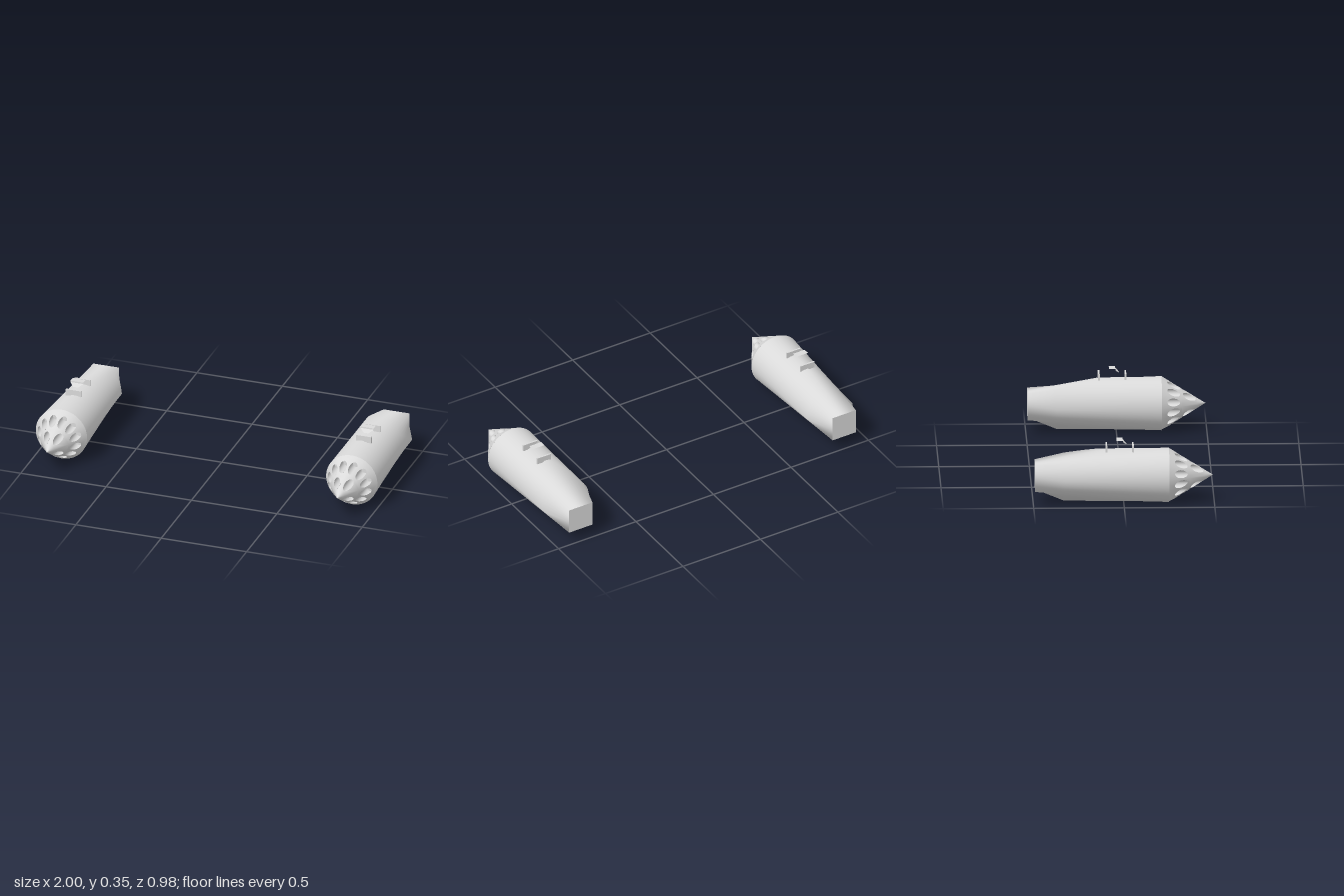
import * as THREE from 'three';

const gray = new THREE.MeshStandardMaterial({ color: 0xdadada, side: THREE.DoubleSide });
gray.name = 'light gray metal';

const R = 0.15, CY = 0.152, NOSE_Z = 0.25, TIP_Z = 0.493, TAIL_Z = -0.49, TAIL = 0.075;
const coneZ = (r) => NOSE_Z + (TIP_Z - NOSE_Z) * (1 - r / R);

function part(geometry, name, parent) {
  const mesh = new THREE.Mesh(geometry, gray);
  mesh.name = name;
  parent.add(mesh);
  return mesh;
}

// Skin through rings of equal length; flip turns it to face inwards
function skin(rings, flip = false) {
  const n = rings[0].length, index = [];
  for (let j = 0; j < rings.length - 1; j++) {
    for (let i = 0; i < n; i++) {
      const a = j * n + i, b = j * n + (i + 1) % n, c = a + n, d = b + n;
      if (flip) index.push(a, b, c, b, d, c);
      else index.push(a, c, b, b, c, d);
    }
  }
  const g = new THREE.BufferGeometry().setFromPoints(rings.flat());
  g.setIndex(index);
  g.computeVertexNormals();
  return g;
}

// Round body ending in a square tail. The four ridges bend at the kink ring;
// the round quadrant stays full up to there, the others run straight to the tail corners.
function bodyGeometry(roundQuadrant) {
  const front = [], kink = [], tail = [], N = 48, Q = N / 4;
  const ridges = [[0.148, 0, -0.33], [0, 0.148, -0.1], [-0.148, 0, -0.33], [0, -0.143, -0.33]]
    .map((p) => new THREE.Vector3(...p));
  for (let i = 0; i < N; i++) {
    const t = i / N * Math.PI * 2, c = Math.cos(t), s = Math.sin(t);
    const q = Math.floor(i / Q), u = (i % Q) / Q;
    const k = TAIL / Math.max(Math.abs(c), Math.abs(s));
    front.push(new THREE.Vector3(c * R, s * R, NOSE_Z));
    tail.push(new THREE.Vector3(c * k, s * k, TAIL_Z));
    if (q === roundQuadrant && u > 0) {
      const h = 0.148 * s;
      kink.push(new THREE.Vector3(c * 0.148, h, Math.max(-0.33, -0.1 - 0.39 * (0.148 - h) / 0.073)));
    } else {
      const a = ridges[q], b = ridges[(q + 1) % 4];
      const z = (a.z + b.z) / 2, f = (NOSE_Z - z) / (NOSE_Z - TAIL_Z);
      const r = THREE.MathUtils.lerp(R, TAIL * Math.SQRT2, f), mid = (q + 0.5) * Math.PI / 2;
      const m = new THREE.Vector3(r * Math.cos(mid), r * Math.sin(mid), z);
      kink.push(u < 0.5 ? a.clone().lerp(m, u * 2) : m.lerp(b, u * 2 - 1));
    }
  }
  const g = skin([front, kink, tail]);
  // soft round shading all along the body
  const n = g.attributes.normal;
  for (let i = 0; i < n.count; i++) {
    const t = (i % N) / N * Math.PI * 2;
    n.setXYZ(i, Math.cos(t), Math.sin(t), 0);
  }
  return g;
}

// Cone panel between two radii and two angles, pierced by one hole
function panelGeometry(r0, r1, a0, a1, hx, hy, hr) {
  const shape = new THREE.Shape();
  shape.absarc(0, 0, r1, a0, a1, false);
  shape.absarc(0, 0, r0, a1, a0, true);
  shape.holes.push(new THREE.Path().absarc(hx, hy, hr, 0, Math.PI * 2, true));
  const g = new THREE.ShapeGeometry(shape, 12);
  const p = g.attributes.position, n = g.attributes.normal;
  const v = new THREE.Vector3();
  for (let i = 0; i < p.count; i++) {
    const x = p.getX(i), y = p.getY(i), r = Math.hypot(x, y);
    p.setZ(i, coneZ(r));
    v.set(x / r * (TIP_Z - NOSE_Z), y / r * (TIP_Z - NOSE_Z), R).normalize();
    n.setXYZ(i, v.x, v.y, v.z);
  }
  return g;
}

// Panel with its launch tube and tube floor
function addTube(nose, r0, r1, a0, a1, holeR, holeA) {
  const hr = 0.022, hx = holeR * Math.cos(holeA), hy = holeR * Math.sin(holeA);
  part(panelGeometry(r0, r1, a0, a1, hx, hy, hr), 'nosePanel', nose);
  const rim = [], base = [];
  for (let i = 0; i < 24; i++) {
    const t = i / 24 * Math.PI * 2, x = hx + hr * Math.cos(t), y = hy + hr * Math.sin(t);
    rim.push(new THREE.Vector3(x, y, coneZ(Math.hypot(x, y))));
    base.push(new THREE.Vector3(x, y, NOSE_Z));
  }
  part(skin([rim, base], true), 'launchTube', nose);
  part(new THREE.CircleGeometry(hr, 24), 'tubeFloor', nose).position.set(hx, hy, NOSE_Z);
}

function createNose() {
  const nose = new THREE.Group();
  nose.name = 'nose';
  const rad = Math.PI / 180, tipR = 0.028, midR = 0.081;
  const tipH = TIP_Z - coneZ(tipR);
  const tip = new THREE.ConeGeometry(tipR, tipH, 32, 1, true).rotateX(Math.PI / 2);
  part(tip, 'noseTip', nose).position.z = TIP_Z - tipH / 2;
  // outer ring of twelve tubes
  for (let i = 0; i < 12; i++) {
    addTube(nose, midR, R, i * 30 * rad, (i + 1) * 30 * rad, 0.109, (i * 30 + 15) * rad);
  }
  // inner ring of four tubes
  [52, 128, 232, 308].forEach((a, i) => {
    addTube(nose, tipR, midR, i * 90 * rad, (i + 1) * 90 * rad, 0.055, a * rad);
  });
  return nose;
}

// Thin folded sheet: flat top, short lip and a narrowing front flap
function connectorGeometry() {
  const rows = [[0.038, 0.355, -0.04], [0.038, 0.355, -0.005], [0.038, 0.347, -0.004], [0.014, 0.33, 0.015]];
  const points = rows.flatMap(([x, y, z]) => [new THREE.Vector3(-x, y, z), new THREE.Vector3(x, y, z)]);
  const g = new THREE.BufferGeometry().setFromPoints(points);
  g.setIndex([0, 2, 4].flatMap((i) => [i, i + 2, i + 1, i + 1, i + 2, i + 3]));
  const flat = g.toNonIndexed();
  flat.computeVertexNormals();
  return flat;
}

function createPod(name, x, roundQuadrant) {
  const pod = new THREE.Group();
  pod.name = name;
  pod.position.x = x;
  const hull = new THREE.Group();
  hull.name = 'hull';
  hull.position.y = CY;
  pod.add(hull);
  part(bodyGeometry(roundQuadrant), 'body', hull);
  part(new THREE.PlaneGeometry(TAIL * 2, TAIL * 2).rotateY(Math.PI), 'tailPlate', hull).position.z = TAIL_Z;
  hull.add(createNose());
  // mounting lugs and connector on top
  for (const z of [0.051, -0.096]) {
    part(new THREE.BoxGeometry(0.09, 0.038, 0.009), 'mountingLug', pod).position.set(0, 0.311, z);
  }
  part(connectorGeometry(), 'connector', pod);
  return pod;
}

// The full round shoulder is the inner one on each pod
export function createModel() {
  const model = new THREE.Group();
  model.name = 'rocketPods';
  model.add(createPod('leftPod', 0.85, 1), createPod('rightPod', -0.85, 0));
  return model;
}
